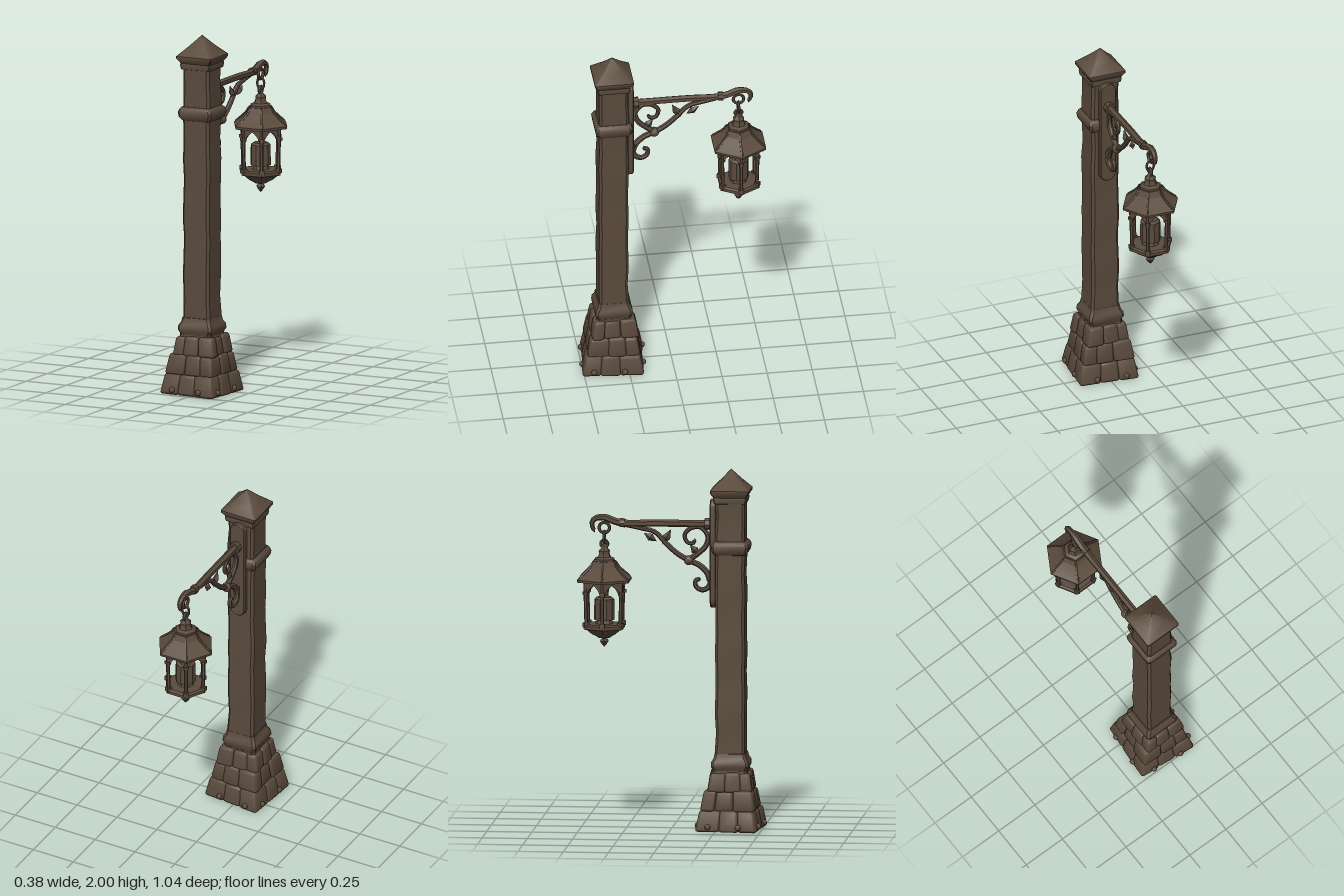
import * as THREE from 'three';
import { toCreasedNormals } from 'three/addons/utils/BufferGeometryUtils.js';
import { RoundedBoxGeometry } from 'three/addons/geometries/RoundedBoxGeometry.js';

const iron = new THREE.MeshStandardMaterial({ color: 0x5a4a3c });
iron.name = 'weatheredBrown';
const PZ = 0.327;   // post centre
const LZ = -0.375;  // lantern centre

function add(parent, name, geo, x = 0, y = 0, z = 0, crease = 0.6) {
  const m = new THREE.Mesh(toCreasedNormals(geo, crease), iron);
  m.name = name;
  m.position.set(x, y, z);
  parent.add(m);
  return m;
}

// Chamfered square sections [y, half width] joined from bottom to top
function loft(levels, chamfer = 0.014) {
  const pos = [], idx = [];
  for (const [y, h, dx = 0, dz = 0] of levels) {
    const e = h - Math.min(chamfer, h * 0.3);
    for (const [x, z] of [[h, -e], [h, e], [e, h], [-e, h], [-h, e], [-h, -e], [-e, -h], [e, -h]]) pos.push(x + dx, y, z + dz);
  }
  for (let i = 0; i < levels.length - 1; i++) for (let j = 0; j < 8; j++) {
    const a = i * 8 + j, b = i * 8 + (j + 1) % 8;
    idx.push(a, a + 8, b, b, a + 8, b + 8);
  }
  const g = new THREE.BufferGeometry();
  g.setAttribute('position', new THREE.Float32BufferAttribute(pos, 3));
  g.setIndex(idx);
  return g;
}

// Bar along [z, y] points, with a radius rule along its length
function bar(points, radius, n = 28, sides = 7) {
  const curve = new THREE.CatmullRomCurve3(points.map(([z, y]) => new THREE.Vector3(0, y, z)));
  const g = new THREE.TubeGeometry(curve, n, 1, sides);
  const p = g.attributes.position, v = new THREE.Vector3();
  for (let i = 0; i < p.count; i++) {
    const ring = Math.floor(i / (sides + 1));
    const c = curve.getPointAt(ring / n);
    const r = ring === 0 || ring === n ? 0.0005 : radius(ring / n);
    v.fromBufferAttribute(p, i).sub(c).multiplyScalar(r).add(c);
    p.setXYZ(i, v.x, v.y, v.z);
  }
  return g;
}

// Hexagonal turned shape with corners on the x axis
function hex(profile) {
  const g = new THREE.LatheGeometry(profile.map(([r, y]) => new THREE.Vector2(r, y)), 6);
  return g.rotateY(Math.PI / 2);
}

function stoneBase() {
  const base = new THREE.Group();
  base.name = 'stoneBase';
  base.position.z = PZ;
  const rows = [ // bottom, top, half width, twist, inner joints
    [0, 0.118, 0.172, -0.09, [-0.06, 0.05], [-0.04, 0.07]],
    [0.112, 0.222, 0.148, -0.06, [-0.03, 0.07], [-0.07, 0.03]],
    [0.215, 0.322, 0.126, 0.03, [-0.06, 0.03], [-0.03, 0.06]],
  ];
  rows.forEach(([y0, y1, H, twist, jx, jz], r) => {
    const row = new THREE.Group();
    row.name = 'stoneRow' + (r + 1);
    row.rotation.y = twist;
    base.add(row);
    const ex = [-H, ...jx, H], ez = [-H, ...jz, H];
    for (let i = 0; i < 3; i++) for (let k = 0; k < 3; k++) {
      if (i === 1 && k === 1) continue;
      const w = ex[i + 1] - ex[i], d = ez[k + 1] - ez[k], h = y1 - y0;
      const grow = 0.004 * Math.sin(i * 5 + k * 3 + r * 2);
      const g = new RoundedBoxGeometry(w + 0.003, h + grow, d + 0.003, 2, 0.016);
      g.translate((ex[i] + ex[i + 1]) / 2 + grow * (i - 1), (y0 + y1) / 2 + grow / 2, (ez[k] + ez[k + 1]) / 2 + grow * (k - 1));
      const p = g.attributes.position;
      for (let n = 0; n < p.count; n++) {
        const s = 1 - 0.13 * (p.getY(n) - y0) / h;
        p.setX(n, p.getX(n) * s);
        p.setZ(n, p.getZ(n) * s);
      }
      add(row, 'stone', g, 0, 0, 0, 0.9);
    }
  });
  add(base, 'core', loft([[0.004, 0.001], [0.004, 0.15], [0.11, 0.135], [0.22, 0.11], [0.33, 0.095], [0.33, 0.001]]));
  // Pebbles around the foot
  for (let s = 0; s < 4; s++) for (const t of [-0.09, 0.08]) {
    const a = s * Math.PI / 2 - 0.09, u = t + 0.02 * Math.sin(s * 4), o = 0.168;
    add(base, 'pebble', new THREE.IcosahedronGeometry(0.017, 1),
      Math.sin(a) * o + Math.cos(a) * u, 0.028, Math.cos(a) * o - Math.sin(a) * u, 0.9);
  }
  return base;
}

function post() {
  const g = new THREE.Group();
  g.name = 'post';
  g.position.z = PZ;
  const shaft = [];
  for (let i = 0; i <= 14; i++) shaft.push([0.32 + i * 0.11, 0.081 + 0.002 * Math.sin(i * 2.3), 0.002 * Math.sin(i * 1.7), 0.002 * Math.cos(i * 2.9)]);
  add(g, 'shaft', loft(shaft));
  add(g, 'lowerCollar', loft([[0.315, 0.08], [0.318, 0.092], [0.34, 0.096], [0.355, 0.104], [0.38, 0.102], [0.4, 0.09], [0.425, 0.085], [0.428, 0.07]]));
  add(g, 'upperCollar', loft([[1.525, 0.07], [1.53, 0.088], [1.548, 0.1], [1.575, 0.104], [1.592, 0.098], [1.605, 0.085], [1.605, 0.07]]));
  add(g, 'cap', loft([[1.81, 0.07], [1.815, 0.088], [1.835, 0.092], [1.848, 0.09], [1.875, 0.108], [1.888, 0.108], [1.94, 0.056], [2, 0.0005]], 0.006));
  return g;
}

function bracket() {
  const g = new THREE.Group();
  g.name = 'bracket';
  // Wall plate with rounded ends
  const s = new THREE.Shape();
  s.moveTo(-0.042, 1.275);
  s.absarc(0, 1.275, 0.042, Math.PI, 2 * Math.PI);
  s.lineTo(0.042, 1.785);
  s.absarc(0, 1.785, 0.042, 0, Math.PI);
  add(g, 'wallPlate', new THREE.ExtrudeGeometry(s, { depth: 0.024, bevelSize: 0.005, bevelThickness: 0.006, bevelSegments: 1, curveSegments: 6 }), 0, 0, 0.218);
  // Main arm ending in a hook
  add(g, 'arm', bar([[0.24, 1.692], [0.1, 1.692], [-0.1, 1.692], [-0.25, 1.688], [-0.31, 1.697], [-0.375, 1.72], [-0.428, 1.712], [-0.444, 1.685], [-0.428, 1.635]],
    t => t < 0.8 ? 0.02 : 0.02 - (t - 0.8) * 0.05, 40, 6));
  for (const [z, r] of [[0.195, 0.032], [-0.275, 0.025]])
    add(g, 'armCollar', new THREE.CylinderGeometry(r, r, 0.028, 8).rotateX(Math.PI / 2), 0, 1.691, z);
  // Scrollwork
  add(g, 'brace', bar([[0.215, 1.36], [0.195, 1.42], [0.15, 1.463], [0.095, 1.487], [0.03, 1.525], [-0.03, 1.578], [-0.095, 1.643], [-0.17, 1.663], [-0.27, 1.682]],
    t => 0.018 - 0.006 * t));
  add(g, 'upperScroll', bar([[0.085, 1.487], [0.14, 1.525], [0.188, 1.572], [0.198, 1.625], [0.16, 1.672], [0.105, 1.668], [0.07, 1.63], [0.085, 1.588], [0.118, 1.585], [0.128, 1.61]],
    t => 0.017 - 0.006 * t, 36));
  add(g, 'lowerScroll', bar([[0.2, 1.43], [0.215, 1.385], [0.2, 1.34], [0.165, 1.325], [0.132, 1.345], [0.132, 1.378], [0.16, 1.385]],
    t => 0.018 - 0.006 * t));
  add(g, 'scrollKnot', new THREE.IcosahedronGeometry(0.028, 1), 0, 1.488, 0.093, 0.9);
  // Leaves: position, length, tilt
  for (const [z, y, len, tilt] of [[-0.03, 1.615, 0.05, 0.5], [-0.12, 1.613, 0.042, -1.0], [0.125, 1.545, 0.04, -0.7]]) {
    const leaf = add(g, 'leaf', new THREE.OctahedronGeometry(1), 0, y, z);
    leaf.scale.set(0.018, len, 0.022);
    leaf.rotation.x = tilt;
  }
  return g;
}

function lantern() {
  const g = new THREE.Group();
  g.name = 'lantern';
  g.position.z = LZ;
  // Chain
  add(g, 'topLink', new THREE.TorusGeometry(0.029, 0.009, 6, 14).rotateY(Math.PI / 2), 0, 1.663, 0, 0.9);
  add(g, 'lowerLink', new THREE.TorusGeometry(0.024, 0.008, 6, 14).scale(0.9, 1.3, 1), 0, 1.61, 0, 0.9);
  add(g, 'hangerLoop', new THREE.TorusGeometry(0.02, 0.008, 6, 14).rotateY(Math.PI / 2), 0, 1.573, 0, 0.9);
  // Roof and its crown
  add(g, 'crown', hex([[0, 1.47], [0.062, 1.47], [0.062, 1.49], [0.04, 1.5], [0.031, 1.52], [0.034, 1.535], [0.017, 1.552], [0.012, 1.575], [0, 1.578]]));
  add(g, 'roof', hex([[0, 1.385], [0.12, 1.372], [0.163, 1.366], [0.165, 1.38], [0.12, 1.412], [0.085, 1.445], [0.068, 1.478], [0, 1.482]]), 0, 0, 0, 0.3);
  for (let i = 0; i < 6; i++) {
    const side = new THREE.Group();
    side.name = 'lanternSide';
    side.rotation.y = i * Math.PI / 3;
    g.add(side);
    // Roof rib along the hip
    const rib = bar([[0.068, 1.48], [0.085, 1.447], [0.12, 1.414], [0.163, 1.378]], () => 0.007, 8, 5).rotateY(Math.PI / 2);
    add(side, 'roofRib', rib);
    // Corner column
    const col = add(side, 'column', new THREE.CylinderGeometry(0.0105, 0.0105, 0.27, 6), 0.112, 1.245, 0);
    col.rotation.z = -0.03;
    add(side, 'columnFoot', new THREE.BoxGeometry(0.028, 0.025, 0.028), 0.111, 1.128, 0);
    add(side, 'columnHead', new THREE.BoxGeometry(0.026, 0.018, 0.026), 0.114, 1.305, 0);
    // Pointed arch panel between columns
    const a = new THREE.Shape();
    a.moveTo(-0.056, 1.375);
    a.lineTo(-0.056, 1.29);
    a.lineTo(-0.045, 1.29);
    a.quadraticCurveTo(-0.04, 1.325, 0, 1.352);
    a.quadraticCurveTo(0.04, 1.325, 0.045, 1.29);
    a.lineTo(0.056, 1.29);
    a.lineTo(0.056, 1.375);
    const arch = add(side, 'arch', new THREE.ExtrudeGeometry(a, { depth: 0.012, bevelEnabled: false, curveSegments: 5 }));
    const turn = Math.PI / 6;
    arch.position.set(Math.sin(Math.PI / 2 - turn) * 0.091, 0, Math.cos(Math.PI / 2 - turn) * 0.091);
    arch.rotation.y = Math.PI / 2 - turn;
  }
  // Floor, bowl and bottom drop
  add(g, 'floor', hex([[0, 1.095], [0.112, 1.1], [0.124, 1.105], [0.124, 1.122], [0.112, 1.13], [0, 1.13]]));
  add(g, 'bowl', hex([[0, 1.05], [0.035, 1.052], [0.045, 1.06], [0.075, 1.075], [0.112, 1.105], [0, 1.106]]));
  add(g, 'drop', hex([[0, 1.0], [0.012, 1.012], [0.026, 1.032], [0.024, 1.038], [0.013, 1.048], [0.02, 1.058], [0, 1.06]]));
  // Candle on its dish
  add(g, 'candleDish', new THREE.CylinderGeometry(0.04, 0.05, 0.03, 8), 0, 1.14, 0);
  add(g, 'candle', new THREE.CylinderGeometry(0.055, 0.057, 0.115, 10), 0, 1.21, 0);
  add(g, 'candleTop', new THREE.CylinderGeometry(0.04, 0.055, 0.012, 10), 0, 1.273, 0);
  add(g, 'wick', new THREE.CylinderGeometry(0.005, 0.007, 0.035, 5), 0, 1.293, 0);
  return g;
}

export function createModel() {
  const model = new THREE.Group();
  model.name = 'lampPost';
  model.add(stoneBase(), post(), bracket(), lantern());
  return model;
}
